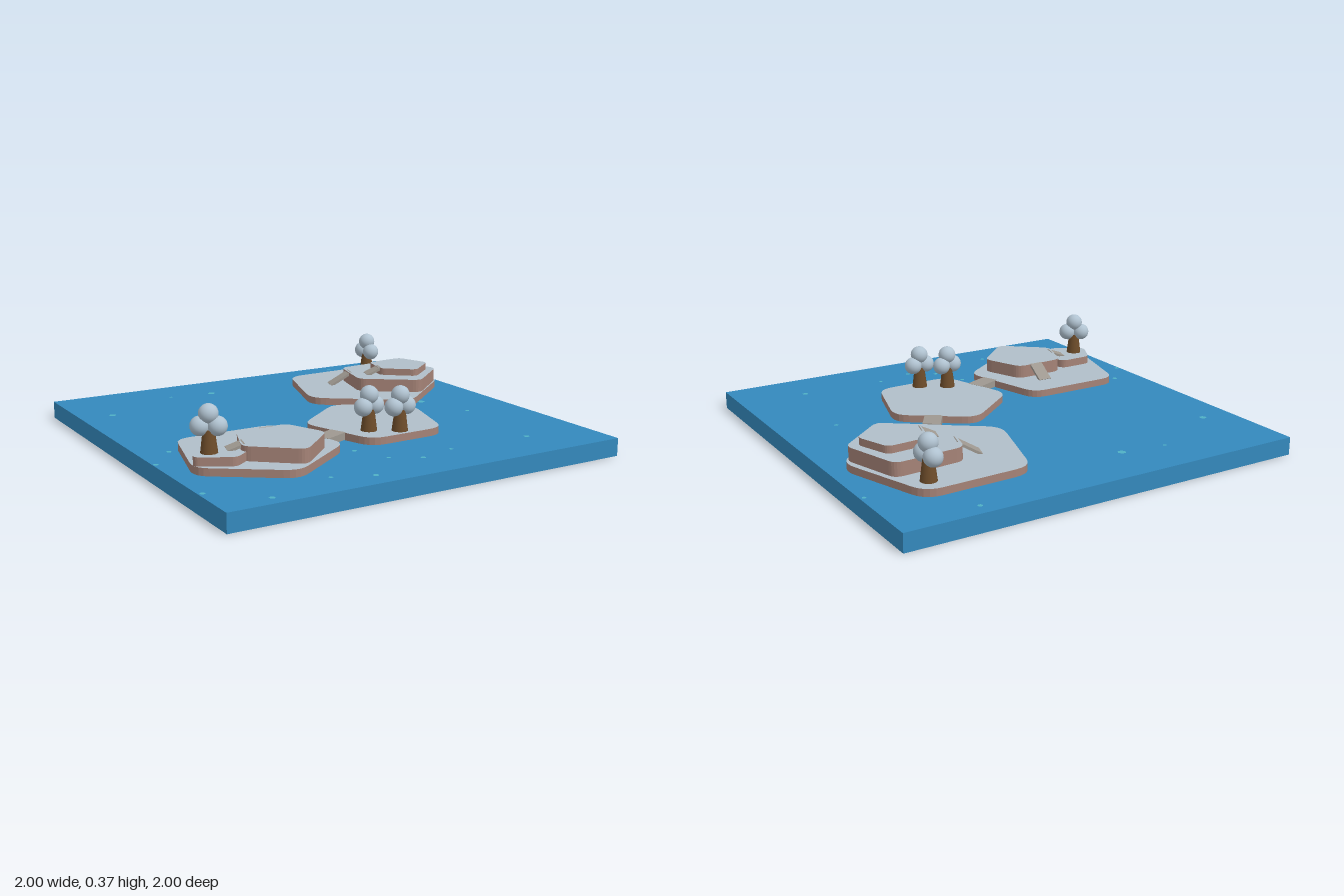
import * as THREE from 'three';

const mat = (name, color) => {
  const m = new THREE.MeshStandardMaterial({ color });
  m.name = name;
  return m;
};

export function createModel() {
  const model = new THREE.Group();
  model.name = 'islands';
  const water = mat('water blue', 0x3489bd);
  const ripple = mat('ripple teal', 0x4fb0c4);
  const ground = mat('pale ground', 0xb0bec8);
  const rock = mat('rock brown', 0xa58377);
  const plank = mat('plank grey', 0x9e9890);
  const bark = mat('bark brown', 0x6d4c2a);
  const leaf = mat('leaf grey', 0xb0c2d0);

  const SEA = 0.085, LAND = 0.12;
  const add = (name, geometry, material, parent = model) => {
    const mesh = new THREE.Mesh(geometry, material);
    mesh.name = name;
    parent.add(mesh);
    return mesh;
  };

  // Sea block
  add('sea', new THREE.BoxGeometry(2, SEA, 2), water).position.y = SEA / 2;

  // Small ripples lying on the sea: x, z, radius
  [[-0.22, -0.75, 0.02], [-0.84, -0.58, 0.018], [-0.44, -0.78, 0.009], [0.62, -0.93, 0.012],
    [0.63, -0.03, 0.022], [0.72, 0.24, 0.011], [-0.86, 0.15, 0.013], [-0.985, 0.3, 0.013],
    [-0.98, 0.75, 0.013], [-0.77, 0.935, 0.014], [-0.44, 0.83, 0.011], [-0.265, 0.9, 0.014],
    [-0.08, 0.72, 0.011], [0.05, 0.795, 0.013], [0.235, 0.75, 0.01], [0.66, 0.76, 0.015],
    [-0.15, 0.555, 0.012], [0.98, -0.62, 0.01]].forEach(([x, z, r], i) => {
    const disc = new THREE.CircleGeometry(r, 6).rotateX(-Math.PI / 2).rotateY(i);
    add('ripple', disc, ripple).position.set(x, SEA + 0.0008, z);
  });

  // Plateau with rounded corners, from its sharp corners [x, z]
  function plateau(name, corners, round, y0, y1) {
    const pts = corners.map(([x, z]) => new THREE.Vector2(x, -z));
    const shape = new THREE.Shape();
    pts.forEach((p, i) => {
      const prev = pts[(i + pts.length - 1) % pts.length];
      const next = pts[(i + 1) % pts.length];
      const a = p.clone().add(prev.clone().sub(p).setLength(round));
      const b = p.clone().add(next.clone().sub(p).setLength(round));
      if (i === 0) shape.moveTo(a.x, a.y);
      else shape.lineTo(a.x, a.y);
      shape.quadraticCurveTo(p.x, p.y, b.x, b.y);
    });
    shape.closePath();
    const geo = new THREE.ExtrudeGeometry(shape, { depth: y1 - y0, bevelEnabled: false, curveSegments: 5 });
    geo.rotateX(-Math.PI / 2);
    add(name, geo, [ground, rock]).position.y = y0;
  }

  // Back island with two terraces
  plateau('backIsland', [[0.26, -0.75], [0.775, -0.765], [0.935, -0.3], [0.53, 0.035], [0.11, -0.27]], 0.08, SEA, LAND);
  plateau('backLowerTerrace', [[0.473, -0.553], [0.815, -0.575], [0.906, -0.286], [0.666, -0.083], [0.404, -0.275]], 0.04, LAND, 0.185);
  plateau('backUpperTerrace', [[0.59, -0.457], [0.794, -0.468], [0.857, -0.297], [0.703, -0.174], [0.553, -0.297]], 0.03, 0.185, 0.22);
  // Middle island
  plateau('middleIsland', [[0.137, -0.095], [0.465, 0.14], [0.35, 0.53], [-0.045, 0.537], [-0.175, 0.15]], 0.075, SEA, LAND);
  // Front island with a large and a small terrace
  plateau('frontIsland', [[-0.8, 0.09], [-0.307, 0.09], [-0.185, 0.525], [-0.553, 0.78], [-0.917, 0.525]], 0.07, SEA, LAND);
  plateau('frontLargeTerrace', [[-0.62, 0.33], [-0.366, 0.322], [-0.28, 0.53], [-0.484, 0.72], [-0.7, 0.54]], 0.04, LAND, 0.185);
  plateau('frontSmallTerrace', [[-0.84, 0.365], [-0.67, 0.36], [-0.615, 0.5], [-0.75, 0.6], [-0.91, 0.51]], 0.03, LAND, 0.16);

  // Plank whose top runs from a to b
  function slab(name, a, b, width, thick) {
    const from = new THREE.Vector3(...a), to = new THREE.Vector3(...b);
    const geo = new THREE.BoxGeometry(width, thick, from.distanceTo(to)).translate(0, -thick / 2, 0);
    const mesh = add(name, geo, plank);
    mesh.position.copy(from).lerp(to, 0.5);
    mesh.lookAt(to);
  }
  slab('frontBridge', [-0.23, 0.121, 0.398], [-0.105, 0.121, 0.345], 0.085, 0.034);
  slab('backBridge', [0.372, 0.121, -0.067], [0.305, 0.121, 0.035], 0.085, 0.034);
  slab('backLowerRamp', [0.355, 0.122, -0.49], [0.463, 0.187, -0.458], 0.07, 0.012);
  slab('backUpperRamp', [0.5, 0.187, -0.358], [0.573, 0.222, -0.337], 0.07, 0.012);
  slab('frontRamp', [-0.47, 0.122, 0.235], [-0.47, 0.187, 0.328], 0.07, 0.012);
  slab('smallTerraceRamp', [-0.737, 0.162, 0.468], [-0.665, 0.187, 0.487], 0.07, 0.012);

  // Trees: x, base height, z, direction of the crown's lower pair
  const trunkGeo = new THREE.CylinderGeometry(0.025, 0.038, 0.1, 16).translate(0, 0.05, 0);
  const ballGeo = new THREE.SphereGeometry(0.043, 20, 14);
  [[-0.82, 0.16, 0.48, -0.53], [0.024, LAND, 0.404, 0.2], [0.145, LAND, 0.478, 0.07],
    [0.711, LAND, -0.67, -1.5]].forEach(([x, y, z, turn]) => {
    const tree = new THREE.Group();
    tree.name = 'tree';
    add('trunk', trunkGeo, bark, tree);
    [[-0.037, 0.115], [0.037, 0.115], [0, 0.168]].forEach(([bx, by]) =>
      add('crownBall', ballGeo, leaf, tree).position.set(bx, by, 0));
    tree.position.set(x, y, z);
    tree.rotation.y = turn;
    model.add(tree);
  });

  return model;
}
